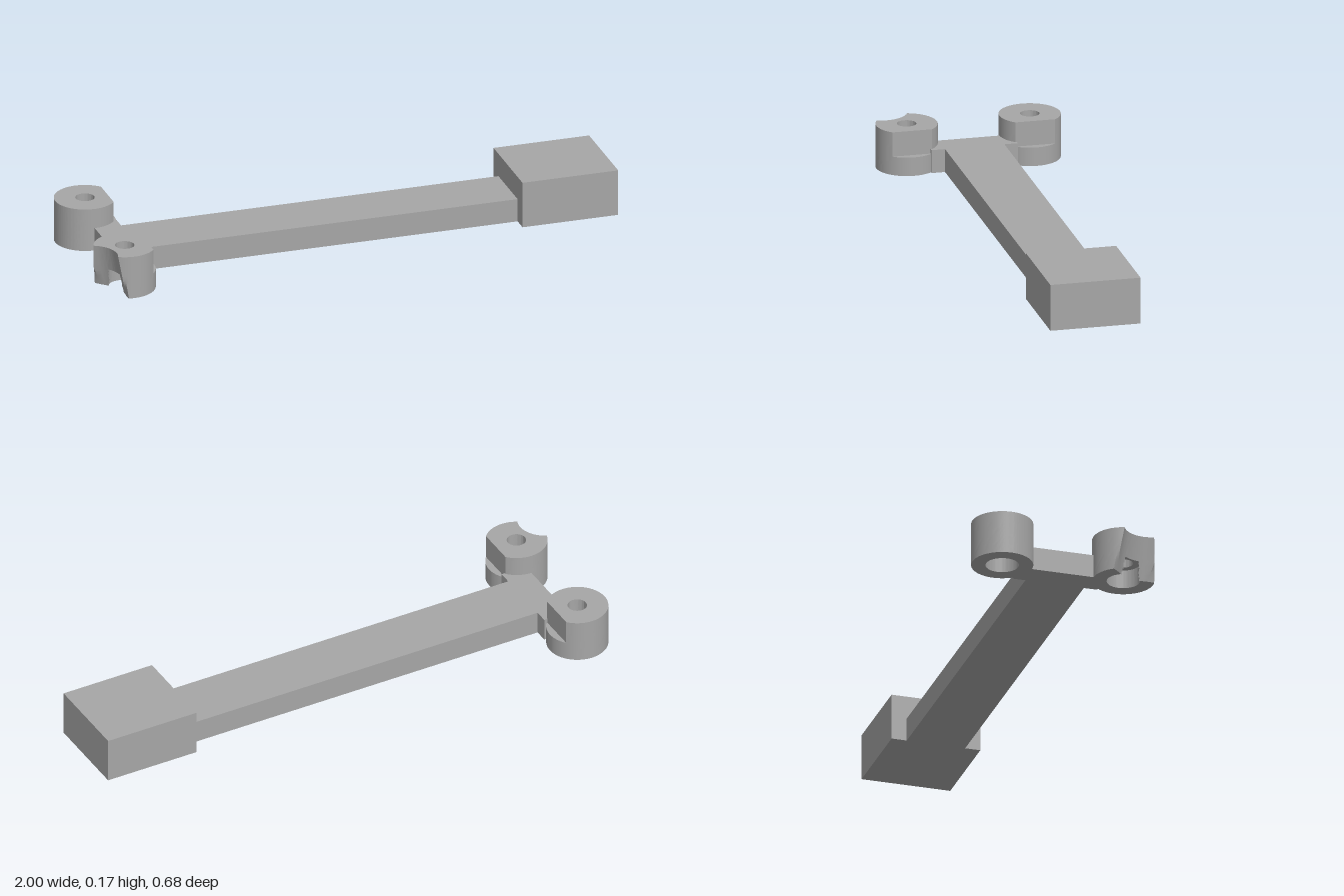
import * as THREE from 'three';
import { toCreasedNormals } from 'three/addons/utils/BufferGeometryUtils.js';

const R = 0.112, HOLE = 0.035, BORE = 0.06, STEP = 0.07, TOP = 0.162, FLAT = 0.085;
const ND = Math.hypot(0.15, 0.062), NA = Math.atan2(0.062, -0.15); // notch axis distance, direction

// Notch is a cone, wider at the bottom
const notchRadius = y => 0.13 - 0.03 * y / TOP;
const notchHalfAngle = y => Math.acos((R * R + ND * ND - notchRadius(y) ** 2) / (2 * R * ND));

// Angles around a knob, with breaks at the notch corners and the ends of the flat
function angles(y) {
  const a = notchHalfAngle(y), f = Math.acos(FLAT / R), full = Math.PI * 2;
  const breaks = [NA - a, NA + a, full - f, full + f, full + NA - a], counts = [48, 24, 16, 14];
  const out = [breaks[0]];
  counts.forEach((n, k) => {
    for (let i = 1; i <= n; i++) out.push(breaks[k] + (breaks[k + 1] - breaks[k]) * i / n);
  });
  return out;
}

// Ring of points at height y, limited by the flat and the notch
function ring(y, radius, flat, notch) {
  return angles(y).map(t => {
    let r = radius;
    if (flat && Math.cos(t) > 0) r = Math.min(r, FLAT / Math.cos(t));
    const c = Math.cos(t - NA), s = ND * Math.sin(t - NA), q = notchRadius(y) ** 2 - s * s;
    if (notch && c > 0 && q > 0) r = Math.min(r, ND * c - Math.sqrt(q));
    return new THREE.Vector3(r * Math.cos(t), y, r * Math.sin(t));
  });
}

function knobGeometry(notch) {
  const pos = [];
  const tri = (a, b, c) => {
    const area = b.clone().sub(a).cross(c.clone().sub(a)).length();
    if (area > 1e-9) for (const p of [a, b, c]) pos.push(p.x, p.y, p.z);
  };
  const strip = (A, B, skip = () => false) => {
    for (let i = 0; i < A.length - 1; i++) {
      if (skip(i)) continue;
      tri(A[i], A[i + 1], B[i + 1]);
      tri(A[i], B[i + 1], B[i]);
    }
  };
  // Outer and inner walls of one section; open where the notch breaks into the bore
  const section = (y0, y1, hole, flat) => {
    const n = 6, levels = [];
    for (let k = 0; k <= n; k++) {
      const y = y0 + (y1 - y0) * k / n;
      levels.push({ out: ring(y, R, flat, notch), inn: ring(y, hole, false, notch) });
    }
    for (let k = 0; k < n; k++) {
      const a = levels[k], b = levels[k + 1];
      const open = i => [a, b].every(l => [i, i + 1].every(j => l.out[j].distanceTo(l.inn[j]) < 1e-6));
      strip(b.out, a.out, open);
      strip(a.inn, b.inn, open);
    }
    return [levels[0], levels[n]];
  };
  const [bottom, mid] = section(0, STEP, BORE, false);
  const [ledge, top] = section(STEP, TOP, HOLE, true);
  strip(bottom.out, bottom.inn);
  strip(top.inn, top.out);
  strip(ledge.out, mid.out); // ledge under the flat
  strip(mid.inn, ledge.inn); // ceiling of the wide bore
  const g = new THREE.BufferGeometry();
  g.setAttribute('position', new THREE.Float32BufferAttribute(pos, 3));
  return toCreasedNormals(g, 0.6);
}

export function createModel() {
  const model = new THREE.Group();
  const grey = new THREE.MeshStandardMaterial({ color: 0xa6a6a6 });
  grey.name = 'grey';

  const add = (name, geometry, x, y, z) => {
    const mesh = new THREE.Mesh(geometry, grey);
    mesh.name = name;
    mesh.position.set(x, y, z);
    model.add(mesh);
  };
  const block = (name, x0, x1, h, halfZ) =>
    add(name, new THREE.BoxGeometry(x1 - x0, h, halfZ * 2), (x0 + x1) / 2, h / 2, 0);

  block('endBlock', 0.638, 1, 0.174, 0.167);
  block('arm', -0.79, 0.638, 0.087, 0.11);
  block('crossBar', -0.888, -0.79, 0.087, 0.16);

  // Bored knobs on the cross bar; the front one is notched
  add('frontKnob', knobGeometry(true), -0.888, 0, 0.228);
  add('backKnob', knobGeometry(false), -0.888, 0, -0.228);
  return model;
}
